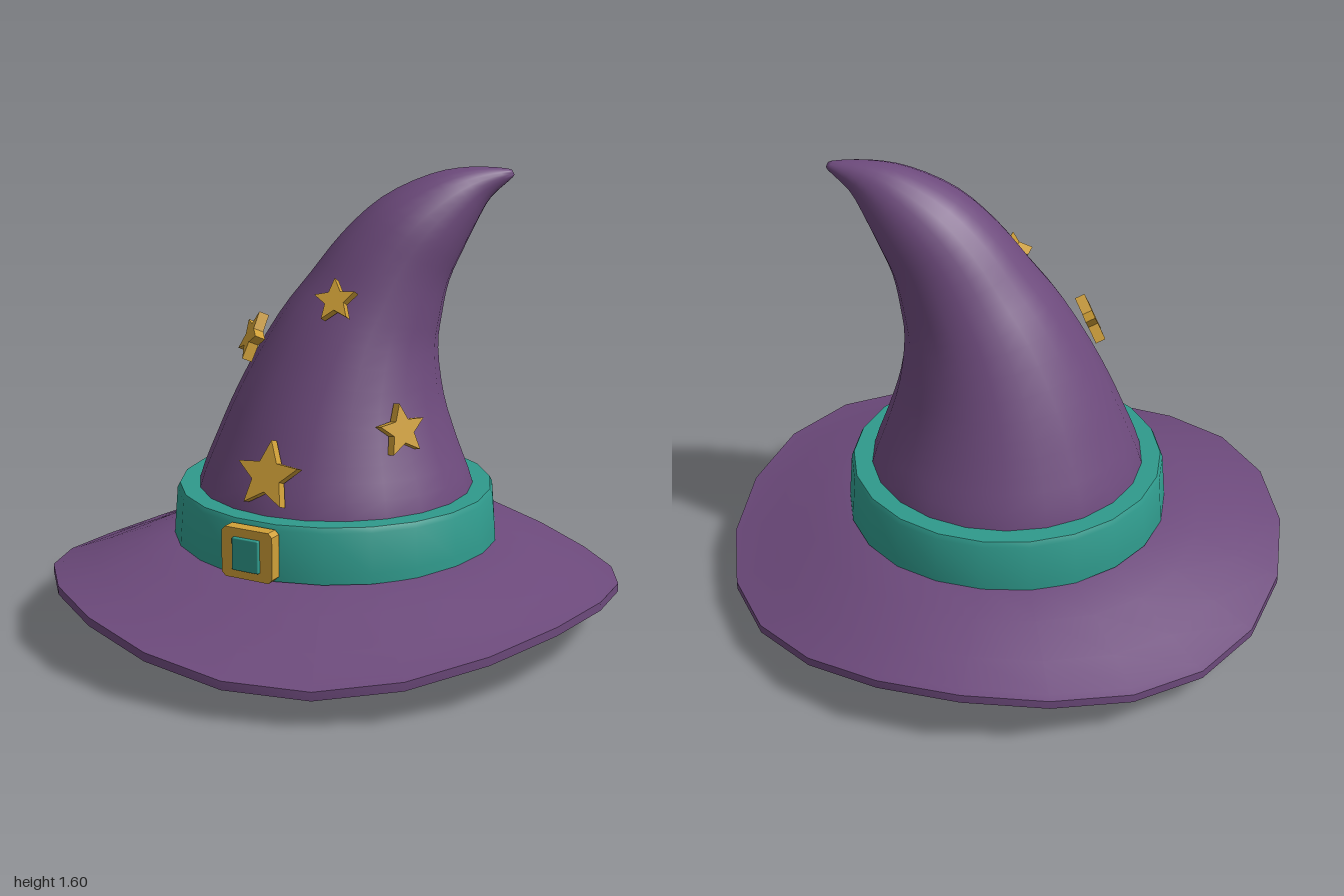
import * as THREE from 'three';
import { toCreasedNormals } from 'three/addons/utils/BufferGeometryUtils.js';
import { RoundedBoxGeometry } from 'three/addons/geometries/RoundedBoxGeometry.js';

const purple = new THREE.MeshStandardMaterial({ color: 0x6d4a7c });
const teal = new THREE.MeshStandardMaterial({ color: 0x2f9a8c });
const gold = new THREE.MeshStandardMaterial({ color: 0xd0a038 });
const SIDES = 22;

function part(parent, name, geometry, material) {
  const mesh = new THREE.Mesh(geometry, material);
  mesh.name = name;
  parent.add(mesh);
  return mesh;
}

function lathe(points) {
  const profile = points.map(([r, y]) => new THREE.Vector2(r, y));
  return new THREE.LatheGeometry(profile, SIDES, Math.PI / 2);
}

// Brim: thick disc whose edge rises and falls three times around
function brimGeometry() {
  const geo = lathe([
    [0.49, 0.27], [0.6, 0.262], [0.7, 0.235], [0.85, 0.185], [0.97, 0.143], [1, 0.15],
    [1, 0.18], [0.97, 0.188], [0.85, 0.228], [0.7, 0.28], [0.57, 0.315], [0.49, 0.325], [0.49, 0.27],
  ]);
  const pos = geo.attributes.position;
  for (let i = 0; i < pos.count; i++) {
    const x = pos.getX(i), z = pos.getZ(i);
    const weight = Math.max(0, (Math.hypot(x, z) - 0.5) / 0.5);
    const wave = Math.cos(3 * (Math.atan2(z, x) - 0.16));
    pos.setY(i, pos.getY(i) + 0.05 * weight * wave);
  }
  return toCreasedNormals(geo, 0.8);
}

// Crown: tapering sweep that curls to the left and back
function crownGeometry() {
  // centre x, centre y, radius, tilt
  const keys = [
    [0, 0.3, 0.515, 0], [0, 0.5, 0.483, 0], [0.005, 0.67, 0.42, 0.02], [0.02, 0.84, 0.355, 0.06],
    [0.07, 1.04, 0.282, 0.2], [0.125, 1.17, 0.237, 0.31], [0.185, 1.3, 0.2, 0.42],
    [0.265, 1.415, 0.165, 0.55], [0.36, 1.505, 0.112, 0.75], [0.44, 1.556, 0.062, 0.95],
    [0.528, 1.586, 0.017, 1.1], [0.537, 1.588, 0, 1.1],
  ];
  const path = new THREE.CatmullRomCurve3(
    keys.map(([x, y]) => new THREE.Vector3(x, y, -0.49 * x)), false, 'catmullrom');
  const sizes = new THREE.CatmullRomCurve3(
    keys.map(([, , r, tilt]) => new THREE.Vector3(r, tilt, 0)), false, 'catmullrom');
  const bendAxis = new THREE.Vector3(-0.49, 0, -1).normalize();
  const geo = new THREE.CylinderGeometry(1, 1, 1, SIDES, 33, true);
  const pos = geo.attributes.position;
  const v = new THREE.Vector3();
  for (let i = 0; i < pos.count; i++) {
    const t = THREE.MathUtils.clamp(pos.getY(i) + 0.5, 0, 1);
    const size = sizes.getPoint(t);
    v.set(pos.getX(i), 0, pos.getZ(i)).multiplyScalar(Math.max(0, size.x));
    v.applyAxisAngle(bendAxis, size.y).add(path.getPoint(t));
    pos.setXYZ(i, v.x, v.y, v.z);
  }
  return toCreasedNormals(geo, 1);
}

function starGeometry(radius) {
  const shape = new THREE.Shape();
  for (let i = 0; i < 10; i++) {
    const r = i % 2 ? radius * 0.46 : radius;
    const a = Math.PI / 2 + (i * Math.PI) / 5;
    shape[i ? 'lineTo' : 'moveTo'](r * Math.cos(a), r * Math.sin(a));
  }
  shape.closePath();
  const geo = new THREE.ExtrudeGeometry(shape, { depth: 0.036, bevelEnabled: false });
  return geo.translate(0, 0, -0.018);
}

export function createModel() {
  const hat = new THREE.Group();
  hat.name = 'pointedHat';

  part(hat, 'brim', brimGeometry(), purple);
  part(hat, 'crown', crownGeometry(), purple);

  // Shallow cone closing the crown underneath
  const base = lathe([[0, 0.005], [0.41, 0.15], [0.46, 0.21], [0.5, 0.32]]);
  part(hat, 'crownBase', toCreasedNormals(base, 1), purple);

  // Band with a flat upper lip
  const band = lathe([
    [0.49, 0.315], [0.57, 0.315], [0.568, 0.35], [0.557, 0.485], [0.548, 0.503], [0.47, 0.503],
  ]);
  part(hat, 'band', toCreasedNormals(band, 0.7), teal);

  // Buckle: chamfered frame with a raised centre
  const buckle = new THREE.Group();
  buckle.name = 'buckle';
  buckle.position.set(0, 0.405, 0);
  hat.add(buckle);
  const frame = new THREE.Shape();
  const w = 0.096, h = 0.086, c = 0.014;
  [[-w + c, -h], [w - c, -h], [w, -h + c], [w, h - c], [w - c, h], [-w + c, h], [-w, h - c], [-w, -h + c]]
    .forEach(([x, y], i) => frame[i ? 'lineTo' : 'moveTo'](x, y));
  frame.closePath();
  const hole = new THREE.Path();
  hole.moveTo(-0.05, -0.055).lineTo(-0.05, 0.055).lineTo(0.05, 0.055).lineTo(0.05, -0.055).closePath();
  frame.holes.push(hole);
  const frameGeo = new THREE.ExtrudeGeometry(frame, { depth: 0.045, bevelEnabled: false });
  part(buckle, 'buckleFrame', frameGeo, gold).position.z = 0.557;
  part(buckle, 'buckleCentre', new RoundedBoxGeometry(0.1, 0.112, 0.07, 1, 0.004), teal).position.z = 0.58;

  // Stars: centre, facing direction, radius, roll
  const stars = [
    ['frontStar', [0, 0.635, 0.458], [0, 0.33, 1], 0.118, 0],
    ['rightStar', [-0.22, 1.03, 0.185], [-0.68, 0.4, 0.62], 0.09, -0.15],
    ['upperStar', [0.12, 1.19, 0.217], [0.08, 0.42, 0.9], 0.075, 0.15],
    ['leftStar', [0.355, 0.775, 0.2], [0.86, 0.22, 0.48], 0.09, 0.05],
  ];
  for (const [name, centre, facing, radius, roll] of stars) {
    const star = part(hat, name, starGeometry(radius), gold);
    star.position.set(...centre);
    star.lookAt(star.position.clone().add(new THREE.Vector3(...facing)));
    star.rotateZ(roll);
  }
  return hat;
}
